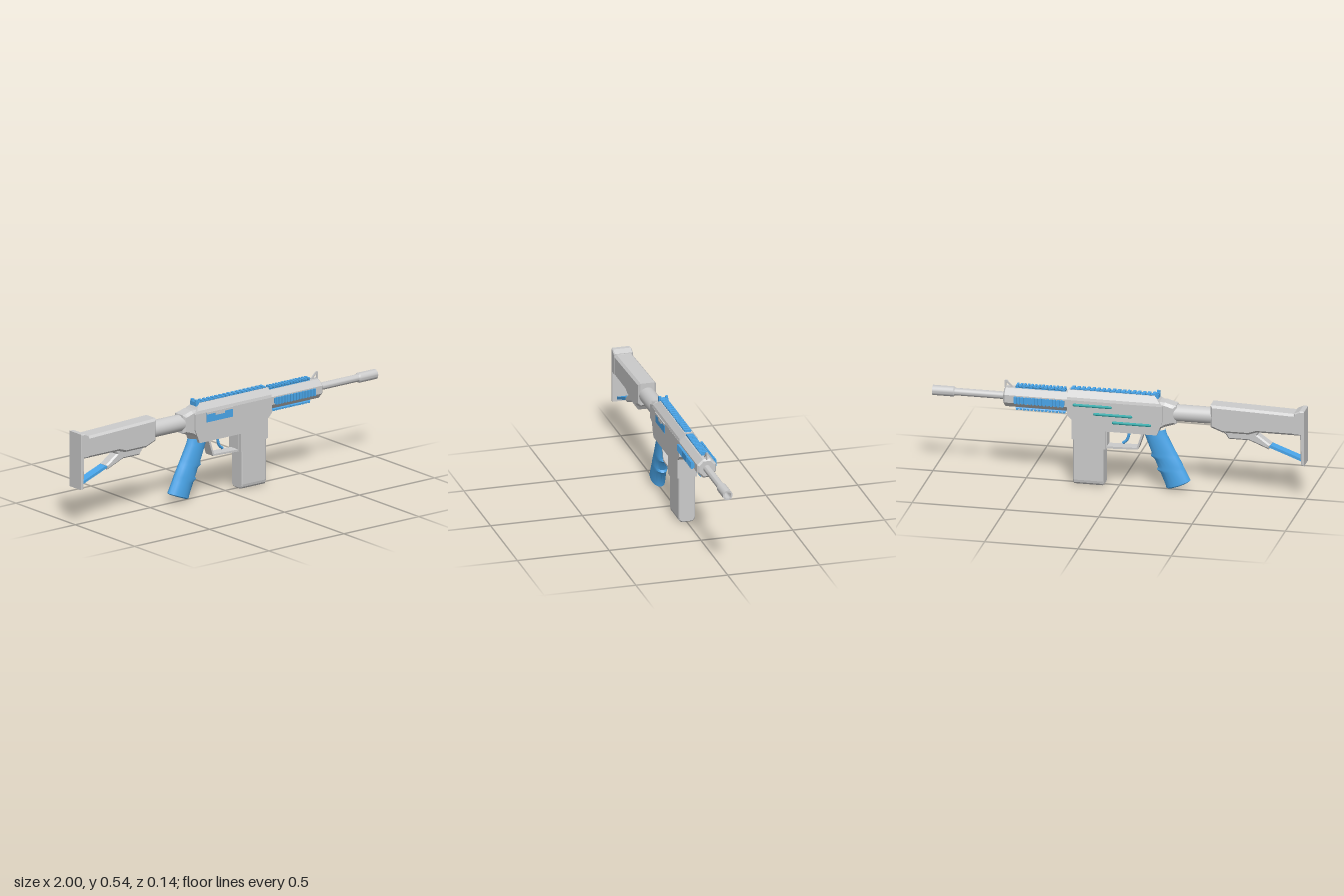
import * as THREE from 'three';
import { toCreasedNormals } from 'three/addons/utils/BufferGeometryUtils.js';

const GREY = 0xcccccc, BLUE = 0x4aa6ea, TEAL = 0x2aaaaa;
const AXIS_Y = 0.45; // height of the barrel axis

export function createModel() {
  const model = new THREE.Group();

  function add(name, geometry, color = GREY, parent = model) {
    const mesh = new THREE.Mesh(geometry, new THREE.MeshStandardMaterial({ color }));
    mesh.name = name;
    parent.add(mesh);
    return mesh;
  }
  const box = (x0, x1, y0, y1, z0, z1) =>
    new THREE.BoxGeometry(x1 - x0, y1 - y0, z1 - z0)
      .translate((x0 + x1) / 2, (y0 + y1) / 2, (z0 + z1) / 2);
  const outline = pts => new THREE.Shape(pts.map(p => new THREE.Vector2(...p)));

  // Extrude a shape by a total depth, chamfered inwards, centred on z
  function extrude(shape, depth, bevel = 0) {
    return new THREE.ExtrudeGeometry(shape, {
      depth: depth - 2 * bevel, bevelEnabled: bevel > 0, bevelSegments: 1,
      bevelSize: bevel, bevelOffset: -bevel, bevelThickness: bevel,
    }).translate(0, 0, bevel - depth / 2);
  }
  const side = (pts, width, bevel) => extrude(outline(pts), width, bevel);

  // Extrude a symmetric cross-section, given as its (z, y) half, along x
  function along(half, x0, x1, bevel) {
    const mirrored = half.map(([z, y]) => [-z, y]).reverse();
    return extrude(outline([...half, ...mirrored]), x1 - x0, bevel)
      .rotateY(Math.PI / 2).translate((x0 + x1) / 2, 0, 0);
  }

  // Round part turned about the x axis from (x, radius) points
  function turned(pts, y) {
    const lathe = new THREE.LatheGeometry(pts.map(([x, r]) => new THREE.Vector2(r, x)), 24);
    return toCreasedNormals(lathe.rotateZ(-Math.PI / 2).translate(0, y, 0), 0.6);
  }

  // Oval loft through [backX, backY, frontX, frontY, halfWidth], top to bottom
  function loft(sections, n = 18) {
    const pos = [], index = [];
    for (const [bx, by, fx, fy, w] of sections) {
      for (let j = 0; j < n; j++) {
        const a = j / n * Math.PI * 2, c = (1 + Math.cos(a)) / 2;
        pos.push(bx + (fx - bx) * c, by + (fy - by) * c, Math.sin(a) * w);
      }
    }
    for (let s = 0; s < sections.length - 1; s++) {
      for (let j = 0; j < n; j++) {
        const a = s * n + j, b = s * n + (j + 1) % n;
        index.push(a, b, a + n, b, b + n, a + n);
      }
    }
    const last = (sections.length - 1) * n;
    for (let j = 1; j < n - 1; j++) index.push(last, last + j, last + j + 1);
    const g = new THREE.BufferGeometry();
    g.setAttribute('position', new THREE.Float32BufferAttribute(pos, 3));
    g.setIndex(index);
    return toCreasedNormals(g, 0.6);
  }

  // Toothed rail along x, base at y = 0
  function rail(name, x0, x1, count, height) {
    const group = new THREE.Group();
    group.name = name;
    add('railBase', along([[0.013, 0], [0.013, height * 0.3], [0.017, height * 0.6]], x0, x1), BLUE, group);
    const pitch = (x1 - x0) / count;
    for (let i = 0; i < count; i++) {
      const x = x0 + (i + 0.5) * pitch;
      add('railTooth', box(x - pitch * 0.3, x + pitch * 0.3, height * 0.5, height, -0.019, 0.019), BLUE, group);
    }
    model.add(group);
    return group;
  }

  // Receiver with magazine well
  add('receiver', side([
    [-0.24, 0.47], [-0.24, 0.385], [-0.21, 0.31], [0.065, 0.31], [0.065, 0.21], [0.1, 0.21],
    [0.245, 0.255], [0.245, 0.36], [0.27, 0.385], [0.27, 0.47],
  ], 0.104));
  const upper = along([[0.052, 0.468], [0.048, 0.485], [0.022, 0.517]], -0.24, 0.27);
  const p = upper.attributes.position;
  for (let i = 0; i < p.count; i++) { // slope the rear end
    if (p.getX(i) < 0) p.setX(i, p.getX(i) + Math.max(0, p.getY(i) - 0.468) * 0.9);
  }
  upper.computeVertexNormals();
  add('upperReceiver', upper);
  add('rearCollar', side([
    [-0.31, 0.375], [-0.25, 0.355], [-0.22, 0.34], [-0.22, 0.49], [-0.25, 0.49], [-0.29, 0.478], [-0.31, 0.475],
  ], 0.09, 0.014));

  // Ejection port and bolt
  add('ejectionPort', box(-0.165, 0.01, 0.415, 0.468, 0.04, 0.0545), BLUE);
  add('boltSlot', box(-0.165, 0.01, 0.459, 0.47, 0.04, 0.057));
  add('boltTab', box(-0.108, -0.048, 0.447, 0.459, 0.04, 0.058));

  // Strips on the right-hand flank
  for (const [x, y] of [[0.135, 0.445], [0.025, 0.402], [-0.075, 0.362]]) {
    const strip = new THREE.CapsuleGeometry(0.008, 0.194, 3, 10).rotateZ(Math.PI / 2);
    add('sideStrip', strip.translate(x, y, -0.051), TEAL);
  }

  // Magazine
  add('magazine', along([[0.046, 0.27], [0.046, 0.028], [0.043, 0.014], [0.035, 0.004], [0.02, 0]].reverse(),
    0.076, 0.24, 0.006));

  // Trigger and its guard
  const guard = outline([[-0.14, 0.32], [-0.105, 0.215], [0.07, 0.208], [0.07, 0.32]]);
  guard.holes.push(outline([[-0.125, 0.312], [-0.098, 0.224], [0.062, 0.22], [0.062, 0.312]]));
  add('triggerGuard', extrude(guard, 0.06));
  const trigger = new THREE.CatmullRomCurve3(
    [[-0.05, 0.32], [-0.05, 0.285], [-0.04, 0.255], [-0.018, 0.235]].map(([x, y]) => new THREE.Vector3(x, y, 0)));
  add('trigger', new THREE.TubeGeometry(trigger, 12, 0.0075, 8), BLUE);

  // Pistol grip with finger ridges
  add('grip', loft([
    [-0.245, 0.33, -0.13, 0.33, 0.036],
    [-0.255, 0.3, -0.137, 0.29, 0.036],
    [-0.297, 0.22, -0.173, 0.195, 0.036],
    [-0.305, 0.205, -0.168, 0.178, 0.036],
    [-0.313, 0.19, -0.187, 0.165, 0.036],
    [-0.339, 0.14, -0.207, 0.118, 0.037],
    [-0.345, 0.127, -0.2, 0.105, 0.037],
    [-0.351, 0.113, -0.218, 0.092, 0.037],
    [-0.375, 0.065, -0.246, 0.025, 0.038],
    [-0.38, 0.055, -0.25, 0.008, 0.038],
    [-0.37, 0.047, -0.262, 0.004, 0.033],
  ]), BLUE);

  // Tube joining the stock to the receiver
  add('stockTube', turned([[-0.6, 0.045], [-0.28, 0.045]], 0.427));

  // Stock
  add('stockBody', side([
    [-0.99, 0.365], [-0.745, 0.365], [-0.7, 0.35], [-0.56, 0.35], [-0.495, 0.375],
    [-0.495, 0.497], [-0.94, 0.484], [-0.99, 0.49],
  ], 0.1, 0.012));
  add('stockLower', side([
    [-0.76, 0.37], [-0.745, 0.345], [-0.815, 0.295], [-0.805, 0.27], [-0.7, 0.312],
    [-0.59, 0.312], [-0.575, 0.335], [-0.53, 0.37],
  ], 0.06, 0.008));
  add('buttPlate', side([
    [-1, 0.2], [-0.982, 0.205], [-0.978, 0.37], [-0.945, 0.37], [-0.945, 0.488], [-0.975, 0.503], [-1, 0.503],
  ], 0.104, 0.005));
  add('stockStrut', side([[-0.985, 0.215], [-0.8, 0.283], [-0.805, 0.297], [-0.985, 0.23]], 0.05), BLUE);

  // Octagonal handguard with chamfered front
  const ring = Array.from({ length: 8 }, (_, i) => {
    const a = (i + 0.5) * Math.PI / 4;
    return [Math.cos(a) * 0.0555, AXIS_Y + Math.sin(a) * 0.0555];
  });
  add('handguard', extrude(outline(ring), 0.355, 0.009).rotateY(Math.PI / 2).translate(0.4375, 0, 0));

  // Barrel with hollow muzzle
  add('barrel', turned([
    [0.58, 0.02], [0.88, 0.02], [0.888, 0.027], [1, 0.027], [1, 0.018], [0.93, 0.017], [0.93, 0],
  ], AXIS_Y));

  // Rails: one on the receiver, four around the handguard
  rail('receiverRail', -0.2, 0.26, 17, 0.017).position.y = 0.51;
  for (let i = 0; i < 4; i++) {
    const a = i * Math.PI / 2;
    const r = rail('handguardRail', 0.285, 0.555, 14, 0.019);
    r.rotation.x = a;
    r.position.set(0, AXIS_Y + Math.cos(a) * 0.05, Math.sin(a) * 0.05);
  }

  // Sights
  add('rearSightBase', box(-0.215, -0.195, 0.505, 0.527, -0.025, 0.025), BLUE);
  for (const s of [-1, 1]) {
    add('rearSightPost', box(-0.213, -0.197, 0.52, 0.537, s * 0.018 - 0.007, s * 0.018 + 0.007), BLUE);
  }
  const sight = outline([[0.565, 0.498], [0.615, 0.498], [0.615, 0.537], [0.603, 0.537]]);
  sight.holes.push(outline([[0.583, 0.505], [0.607, 0.505], [0.607, 0.526]]));
  add('frontSight', extrude(sight, 0.007));

  return model;
}
